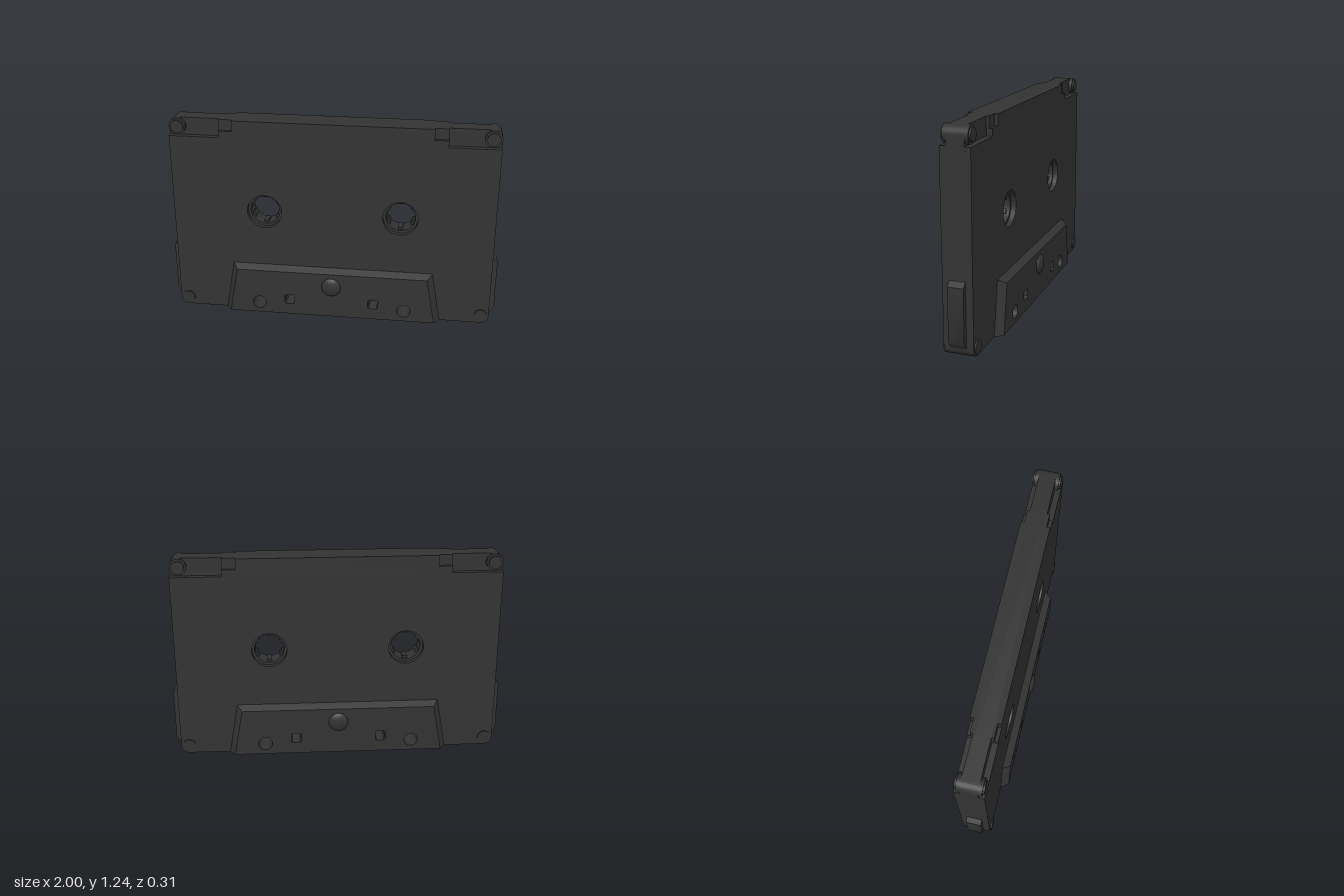
import * as THREE from 'three';
import { toCreasedNormals } from 'three/addons/utils/BufferGeometryUtils.js';

const material = new THREE.MeshStandardMaterial({ color: 0x333333 });
const W = 0.97, H = 1.235, R = 0.05;

function add(parent, name, geometry, x = 0, y = 0, z = 0) {
  const mesh = new THREE.Mesh(geometry, material);
  mesh.name = name;
  mesh.position.set(x, y, z);
  parent.add(mesh);
  return mesh;
}

function extrude(shape, z0, z1) {
  const g = new THREE.ExtrudeGeometry(shape, { depth: z1 - z0, bevelEnabled: false, curveSegments: 20 });
  return toCreasedNormals(g.translate(0, 0, z0), 0.6);
}

function circle(x, y, r) {
  return new THREE.Path().absarc(x, y, r, 0, Math.PI * 2, true);
}

// Round and square openings near the lower edge
function addLowerHoles(shape) {
  for (const s of [-1, 1]) {
    shape.holes.push(circle(s * 0.45, 0.07, 0.042));
    const x = s * 0.26, y = 0.102, h = 0.031, c = 0.008;
    const p = [[-h + c, -h], [h - c, -h], [h, -h + c], [h, h - c], [h - c, h], [-h + c, h], [-h, h - c], [-h, -h + c]];
    shape.holes.push(new THREE.Path(p.map(([a, b]) => new THREE.Vector2(x + a, y + b))));
  }
}

// Shell outline: rounded lower corners, shallow slots underneath, optional stepped upper corners
function shellShape(steps) {
  const s = new THREE.Shape();
  s.moveTo(-W + R, 0);
  for (const [a, b] of [[-0.6, -0.35], [-0.31, -0.04], [0.04, 0.31], [0.35, 0.6]]) {
    s.lineTo(a, 0);
    s.lineTo(a, 0.02);
    s.lineTo(b, 0.02);
    s.lineTo(b, 0);
  }
  s.lineTo(W - R, 0);
  s.absarc(W - R, R, R, -Math.PI / 2, 0, false);
  if (steps.length) {
    for (const [x, y] of steps) s.lineTo(x, y);
    for (const [x, y] of [...steps].reverse()) s.lineTo(-x, y);
  } else {
    s.absarc(W - R, H - R, R, 0, Math.PI / 2, false);
    s.absarc(-W + R, H - R, R, Math.PI / 2, Math.PI, false);
  }
  s.lineTo(-W, R);
  s.absarc(-W + R, R, R, Math.PI, Math.PI * 1.5, false);
  for (const x of [-0.41, 0.41]) s.holes.push(circle(x, 0.67, 0.105));
  addLowerHoles(s);
  return s;
}

// Raised trapezoid whose outer edge is drawn inward to slope the sides
function trapezoid() {
  const s = new THREE.Shape();
  s.moveTo(-0.67, 0);
  s.lineTo(0.67, 0);
  s.lineTo(0.615, 0.317);
  s.lineTo(-0.615, 0.317);
  s.closePath();
  addLowerHoles(s);
  const g = new THREE.ExtrudeGeometry(s, { depth: 0.045, bevelEnabled: false, curveSegments: 20 });
  const p = g.attributes.position;
  for (let i = 0; i < p.count; i++) {
    const y = p.getY(i);
    if (p.getZ(i) > 0.02 && (y < 0.001 || y > 0.3)) p.setXY(i, p.getX(i) * 0.952, y * 0.92);
  }
  return toCreasedNormals(g.translate(0, 0, 0.085), 0.6);
}

function disc(r, depth) {
  return new THREE.CylinderGeometry(r, r, depth, 32).rotateX(Math.PI / 2);
}

function createModel() {
  const model = new THREE.Group();
  add(model, 'shellCore', extrude(shellShape([]), -0.05, 0.05));

  // Matching front and back halves
  const recess = [[W, 1.13], [0.67, 1.13]];
  for (const name of ['front', 'back']) {
    const half = new THREE.Group();
    half.name = name + 'Half';
    if (name === 'back') half.rotation.y = Math.PI;
    model.add(half);
    add(half, 'shellLayer', extrude(shellShape([...recess, [0.67, H]]), 0.05, 0.065));
    add(half, 'shellFace', extrude(shellShape([...recess, [0.67, 1.17], [0.59, 1.17], [0.59, H]]), 0.065, 0.085));
    add(half, 'raisedPanel', trapezoid());
    add(half, 'centreDome', new THREE.SphereGeometry(0.06, 32, 20).scale(1, 1, 0.4), 0, 0.205, 0.129);
    for (const s of [-1, 1]) {
      add(half, 'upperScrew', disc(0.038, 0.02), s * 0.92, H - R, 0.071);
      add(half, 'lowerScrew', disc(0.04, 0.02), s * 0.92, 0.052, 0.083);
    }
  }

  for (const s of [-1, 1]) {
    // Rounded upper corner post
    add(model, 'cornerPost', disc(R, 0.142), s * (W - R), H - R);

    // Reel hub with six inward teeth
    const hub = new THREE.Group();
    hub.name = 'reelHub';
    hub.position.set(s * 0.41, 0.67, 0);
    model.add(hub);
    const ring = new THREE.Shape().absarc(0, 0, 0.106, 0, Math.PI * 2, false);
    ring.holes.push(circle(0, 0, 0.089));
    add(hub, 'hubRing', extrude(ring, -0.055, 0.055));
    for (let i = 0; i < 6; i++) {
      const a = Math.PI / 6 + i * Math.PI / 3;
      const tooth = add(hub, 'hubTooth', new THREE.BoxGeometry(0.016, 0.028, 0.07), Math.cos(a) * 0.084, Math.sin(a) * 0.084);
      tooth.rotation.z = a;
    }

    // Side grip with sloped ends
    const grip = new THREE.Shape([[0.96, 0.05], [0.97, 0.05], [1, 0.095], [1, 0.4], [0.97, 0.425], [0.96, 0.425]]
      .map(([x, y]) => new THREE.Vector2(s * x, y)));
    add(model, s > 0 ? 'leftGrip' : 'rightGrip', extrude(grip, -0.045, 0.045));
  }
  return model;
}

export { createModel };
